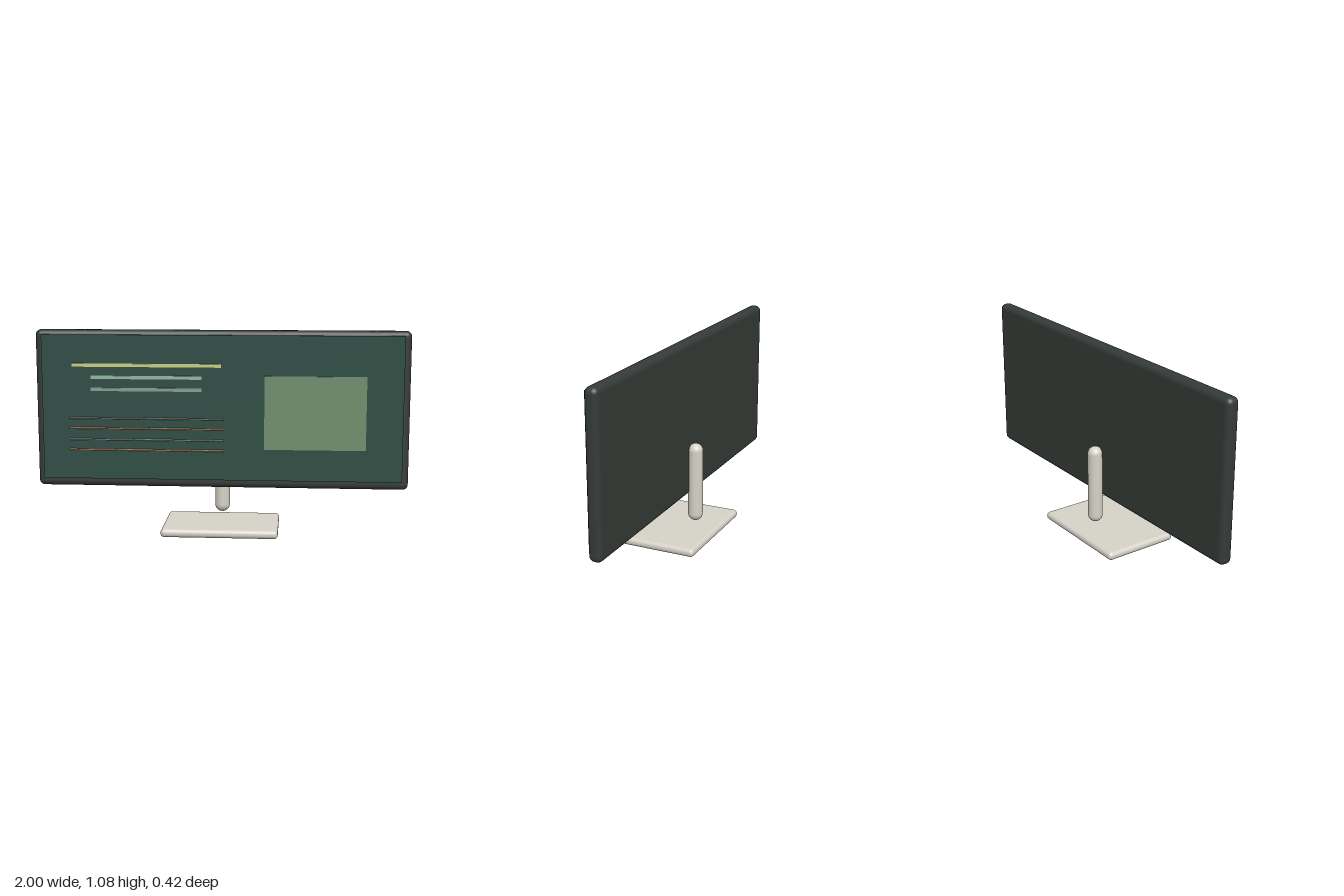
import * as THREE from 'three';
import { RoundedBoxGeometry } from 'three/addons/geometries/RoundedBoxGeometry.js';

export function createModel() {
  const group = new THREE.Group();

  const add = (name, geometry, color, x, y, z) => {
    const mesh = new THREE.Mesh(geometry, new THREE.MeshStandardMaterial({ color }));
    mesh.name = name;
    mesh.position.set(x, y, z);
    group.add(mesh);
    return mesh;
  };

  // Stand: flat rounded foot and a capsule post behind the panel
  add('base', new RoundedBoxGeometry(0.62, 0.045, 0.42, 5, 0.021), 0xd6d2c8, 0, 0.0225, 0);
  add('post', new THREE.CapsuleGeometry(0.04, 0.36, 10, 32), 0xd6d2c8, 0, 0.3, -0.085);

  // Display housing and the thin screen on its front
  add('housing', new RoundedBoxGeometry(2, 0.85, 0.073, 6, 0.03), 0x353b38, 0, 0.655, -0.0235);
  add('screen', new THREE.BoxGeometry(1.93, 0.78, 0.009), 0x2a4a41, 0, 0.665, 0.0175);

  // Heading bars: centre x, centre y, length, colour
  [
    [-0.4, 0.893, 0.8, 0xc2cf83],
    [-0.4025, 0.828, 0.595, 0x8db8a0],
    [-0.4025, 0.763, 0.595, 0x839d92],
  ].forEach(([x, y, length, color], i) =>
    add(`headingBar${i + 1}`, new THREE.BoxGeometry(length, 0.018, 0.007), color, x, y, 0.0255));

  // Thin text lines
  [
    [0.607, 0x7d8584],
    [0.553, 0xc08a5c],
    [0.492, 0x7f9a91],
    [0.436, 0xc88d62],
  ].forEach(([y, color], i) => {
    const line = add(`textLine${i + 1}`, new THREE.CapsuleGeometry(0.005, 0.825, 4, 10), color, -0.4025, y, 0.0285);
    line.rotation.z = Math.PI / 2;
  });

  // Image card on the right of the screen
  add('imageCard', new THREE.BoxGeometry(0.54, 0.395, 0.007), 0x6f8d6b, 0.5, 0.643, 0.0245);

  return group;
}
